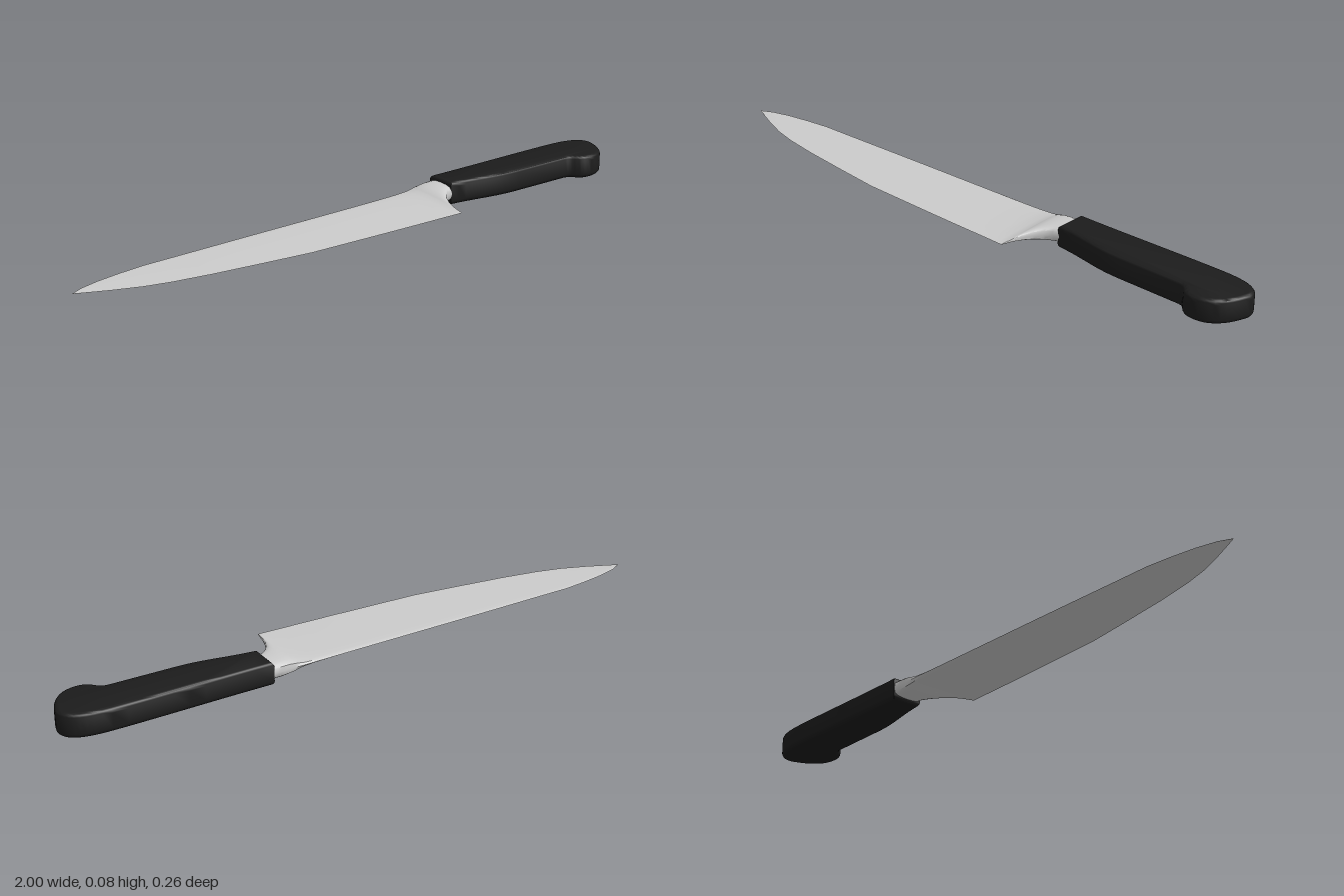
import * as THREE from 'three';
import { toCreasedNormals } from 'three/addons/utils/BufferGeometryUtils.js';

const MID_Y = 0.038;

// Lofts rounded wedge sections along x. Each station: [x, spine z, edge z, spine half thickness, edge half thickness]
function loftBlade(stations, sides = 20) {
  const positions = [], indices = [];
  const soft = (v, p) => Math.sign(v) * Math.pow(Math.abs(v), p);
  for (const [x, spine, edge, a, b] of stations) {
    for (let i = 0; i < sides; i++) {
      const t = (i / sides) * Math.PI * 2;
      const k = (1 - soft(Math.cos(t), 0.75)) / 2; // 0 at the spine, 1 at the edge
      const half = THREE.MathUtils.lerp(a, b, k);
      positions.push(x, MID_Y + half * soft(Math.sin(t), 0.5), THREE.MathUtils.lerp(spine, edge, k));
    }
  }
  for (let s = 0; s < stations.length - 1; s++) {
    for (let i = 0; i < sides; i++) {
      const j = (i + 1) % sides;
      const p = s * sides + i, q = s * sides + j;
      indices.push(p, p + sides, q, q, p + sides, q + sides);
    }
  }
  const geometry = new THREE.BufferGeometry();
  geometry.setAttribute('position', new THREE.Float32BufferAttribute(positions, 3));
  geometry.setIndex(indices);
  return toCreasedNormals(geometry, 0.7);
}

export function createModel() {
  const group = new THREE.Group();
  group.name = 'kitchenKnife';
  const steel = new THREE.MeshStandardMaterial({ color: 0xcccccc, side: THREE.DoubleSide });
  const black = new THREE.MeshStandardMaterial({ color: 0x1c1c1c });

  // Blade from tip to heel, flowing into the thick bolster and neck
  const blade = new THREE.Mesh(loftBlade([
    [-1.0, -0.035, -0.034, 0.0005, 0.0002],
    [-0.96, -0.056, -0.016, 0.001, 0.0002],
    [-0.9, -0.073, 0.01, 0.0015, 0.0002],
    [-0.82, -0.087, 0.04, 0.002, 0.0002],
    [-0.74, -0.097, 0.06, 0.002, 0.0002],
    [-0.62, -0.1, 0.08, 0.002, 0.0002],
    [-0.45, -0.105, 0.101, 0.003, 0.0002],
    [-0.3, -0.109, 0.118, 0.003, 0.0002],
    [0.0, -0.116, 0.126, 0.004, 0.0002],
    [0.12, -0.119, 0.128, 0.005, 0.0003],
    [0.2, -0.121, 0.129, 0.007, 0.0005],
    [0.24, -0.122, 0.13, 0.011, 0.001],
    [0.26, -0.122, 0.13, 0.017, 0.002],
    [0.266, -0.122, 0.09, 0.019, 0.008],
    [0.275, -0.123, 0.057, 0.022, 0.014],
    [0.29, -0.123, 0.025, 0.025, 0.02],
    [0.31, -0.124, -0.001, 0.026, 0.024],
    [0.33, -0.124, -0.017, 0.026, 0.026],
    [0.37, -0.124, -0.026, 0.026, 0.026],
  ]), steel);
  blade.name = 'bladeAndBolster';
  group.add(blade);

  // Handle outline, drawn with shape y = -z
  const outline = new THREE.Shape();
  outline.moveTo(0.345, 0.022);
  outline.bezierCurveTo(0.45, 0.014, 0.5, -0.01, 0.6, -0.01);
  outline.lineTo(0.81, -0.01);
  outline.bezierCurveTo(0.845, -0.012, 0.835, -0.05, 0.89, -0.05);
  outline.bezierCurveTo(0.95, -0.05, 0.985, 0.0, 1.0, 0.065);
  outline.bezierCurveTo(1.0, 0.11, 0.96, 0.135, 0.86, 0.135);
  outline.bezierCurveTo(0.7, 0.135, 0.55, 0.127, 0.345, 0.126);
  outline.closePath();
  const bevel = 0.014, thickness = 0.075;
  const handleGeometry = new THREE.ExtrudeGeometry(outline, {
    depth: thickness - 2 * bevel, curveSegments: 10,
    bevelThickness: bevel, bevelSize: bevel, bevelOffset: -bevel, bevelSegments: 4,
  });
  handleGeometry.rotateX(-Math.PI / 2).translate(0, bevel, 0);
  const handle = new THREE.Mesh(toCreasedNormals(handleGeometry, 0.7), black);
  handle.name = 'handle';
  group.add(handle);

  return group;
}
